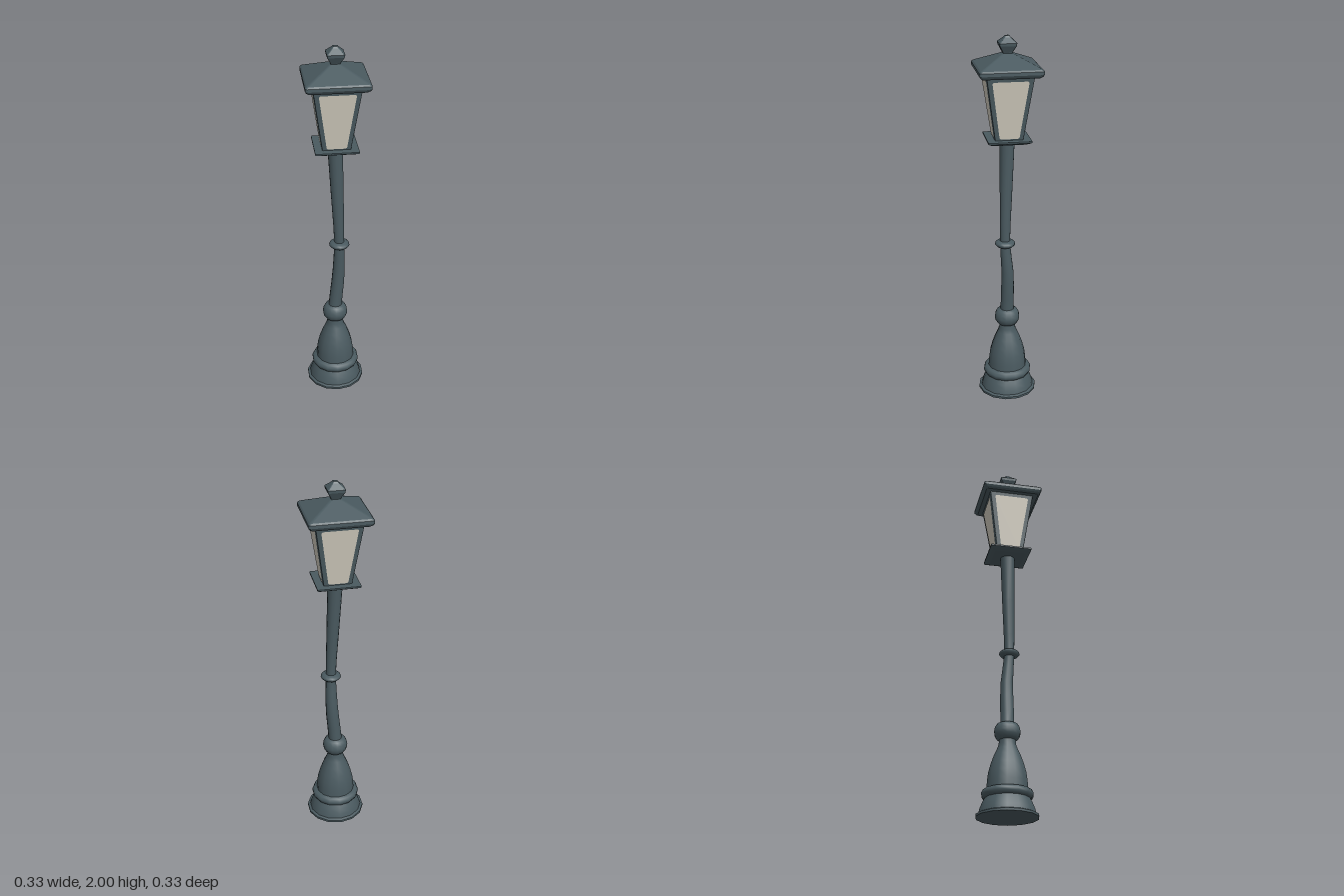
import * as THREE from 'three';

const metal = new THREE.MeshStandardMaterial({ color: 0x4a5a60 });
metal.name = 'slate metal';
const glass = new THREE.MeshStandardMaterial({ color: 0xd0cbbd });
glass.name = 'frosted glass';

// Outlines run counter-clockwise seen from above: [x, z] for a given half width
const circle = (n) => (r) => Array.from({ length: n }, (_, i) => {
  const a = (i / n) * Math.PI * 2;
  return [r * Math.sin(a), r * Math.cos(a)];
});
const roundedSquare = (corner) => (half) => {
  const c = Math.min(corner, half * 0.4), pts = [];
  for (let k = 0; k < 4; k++) {
    for (let j = 0; j <= 3; j++) {
      const a = (k + j / 3) * Math.PI / 2, m = Math.PI / 4 + k * Math.PI / 2;
      const inner = (half - c) * Math.SQRT2;
      pts.push([inner * Math.sin(m) + c * Math.sin(a), inner * Math.cos(m) + c * Math.cos(a)]);
    }
  }
  return pts;
};

// Skins a stack of sections [y, size, x, z], with both ends capped
function loft(sections, outline, smooth) {
  const pos = [], index = [];
  const n = outline(1).length;
  for (const [y, size, x = 0, z = 0] of sections)
    for (const [px, pz] of outline(size)) pos.push(x + px, y, z + pz);
  for (let s = 0; s < sections.length - 1; s++) {
    for (let i = 0; i < n; i++) {
      const a = s * n + i, b = s * n + (i + 1) % n;
      index.push(a, b, b + n, a, b + n, a + n);
    }
  }
  const last = (sections.length - 1) * n;
  if (!smooth) {
    for (let i = 1; i < n - 1; i++) {
      index.push(0, i + 1, i);
      index.push(last, last + i, last + i + 1);
    }
  }
  let g = new THREE.BufferGeometry();
  g.setAttribute('position', new THREE.Float32BufferAttribute(pos, 3));
  g.setIndex(index);
  if (!smooth) g = g.toNonIndexed();
  g.computeVertexNormals();
  return g;
}

// Lathe profile from [radius, y] pairs
const turned = (pts) =>
  new THREE.LatheGeometry(pts.map(([r, y]) => new THREE.Vector2(r, y)), 14);

// Trapezoid pane with rounded corners, leaning with the lantern wall
function paneGeometry(y0, w0, y1, w1, depthAt) {
  const corners = [[-w0, y0], [w0, y0], [w1, y1], [-w1, y1]].map(p => new THREE.Vector2(...p));
  const shape = new THREE.Shape();
  corners.forEach((p, i) => {
    const prev = corners[(i + 3) % 4], next = corners[(i + 1) % 4];
    const a = p.clone().add(prev.clone().sub(p).setLength(0.012));
    const b = p.clone().add(next.clone().sub(p).setLength(0.012));
    if (i === 0) shape.moveTo(a.x, a.y); else shape.lineTo(a.x, a.y);
    shape.quadraticCurveTo(p.x, p.y, b.x, b.y);
  });
  shape.closePath();
  const g = new THREE.ShapeGeometry(shape, 4);
  const v = g.attributes.position;
  for (let i = 0; i < v.count; i++) v.setZ(i, depthAt(v.getY(i)));
  g.computeVertexNormals();
  return g;
}

export function createModel() {
  const model = new THREE.Group();
  model.name = 'streetLamp';
  const add = (name, geometry, material = metal) => {
    const mesh = new THREE.Mesh(geometry, material);
    mesh.name = name;
    model.add(mesh);
    return mesh;
  };

  // Turned base
  add('footUnderside', turned([[0, 0], [0.16, 0]]));
  add('footRim', turned([[0.16, 0], [0.16, 0.012]]));
  add('footTop', turned([[0.16, 0.012], [0.146, 0.018]]));
  add('foot', turned([[0.146, 0.015], [0.14, 0.04], [0.128, 0.07], [0.115, 0.095]]));
  add('baseRing', turned([[0.1, 0.092], [0.124, 0.096], [0.132, 0.11], [0.132, 0.122],
    [0.124, 0.137], [0.1, 0.144]]));
  add('bell', turned([[0.106, 0.14], [0.104, 0.18], [0.098, 0.225], [0.086, 0.27],
    [0.07, 0.315], [0.054, 0.35], [0.045, 0.375], [0.043, 0.41]]));
  add('knob', turned([[0.04, 0.396], [0.054, 0.404], [0.066, 0.424], [0.069, 0.443],
    [0.065, 0.465], [0.054, 0.484], [0.03, 0.493]]));

  // Crooked, tapering pole
  add('pole', loft([
    [0.47, 0.037, -0.001, 0], [0.56, 0.036, 0.007, 0], [0.64, 0.035, 0.015, 0],
    [0.72, 0.033, 0.02, 0.001], [0.8, 0.03, 0.021, 0.008], [0.89, 0.027, 0.021, 0.015],
    [1.0, 0.029, 0.018, 0.013], [1.2, 0.034, 0.01, 0.007], [1.46, 0.04, 0, 0],
  ], circle(14), true));
  add('poleCollar', turned([[0.02, 0.872], [0.045, 0.875], [0.055, 0.886], [0.053, 0.896],
    [0.043, 0.904], [0.02, 0.907]])).position.set(0.021, 0, 0.015);

  // Lantern: tray, tapered body, roof and finial
  add('lanternTray', loft([[1.455, 0.085], [1.462, 0.1], [1.47, 0.113], [1.478, 0.113]],
    roundedSquare(0.005)));
  add('lanternBody', loft([[1.475, 0.073], [1.815, 0.122]], roundedSquare(0.005)));
  add('roof', loft([[1.81, 0.147], [1.819, 0.157], [1.829, 0.163], [1.845, 0.163],
    [1.853, 0.155], [1.915, 0.022]], roundedSquare(0.01)));
  add('finial', loft([[1.905, 0.022], [1.917, 0.025], [1.952, 0.043], [1.966, 0.045],
    [1.992, 0.017], [2, 0.011]], roundedSquare(0.005)));

  // Four panes set just proud of the lantern walls
  const pane = paneGeometry(1.485, 0.051, 1.79, 0.094,
    (y) => 0.0755 + (y - 1.475) * (0.049 / 0.34));
  for (let i = 0; i < 4; i++) add('pane' + (i + 1), pane, glass).rotation.y = i * Math.PI / 2;

  return model;
}
